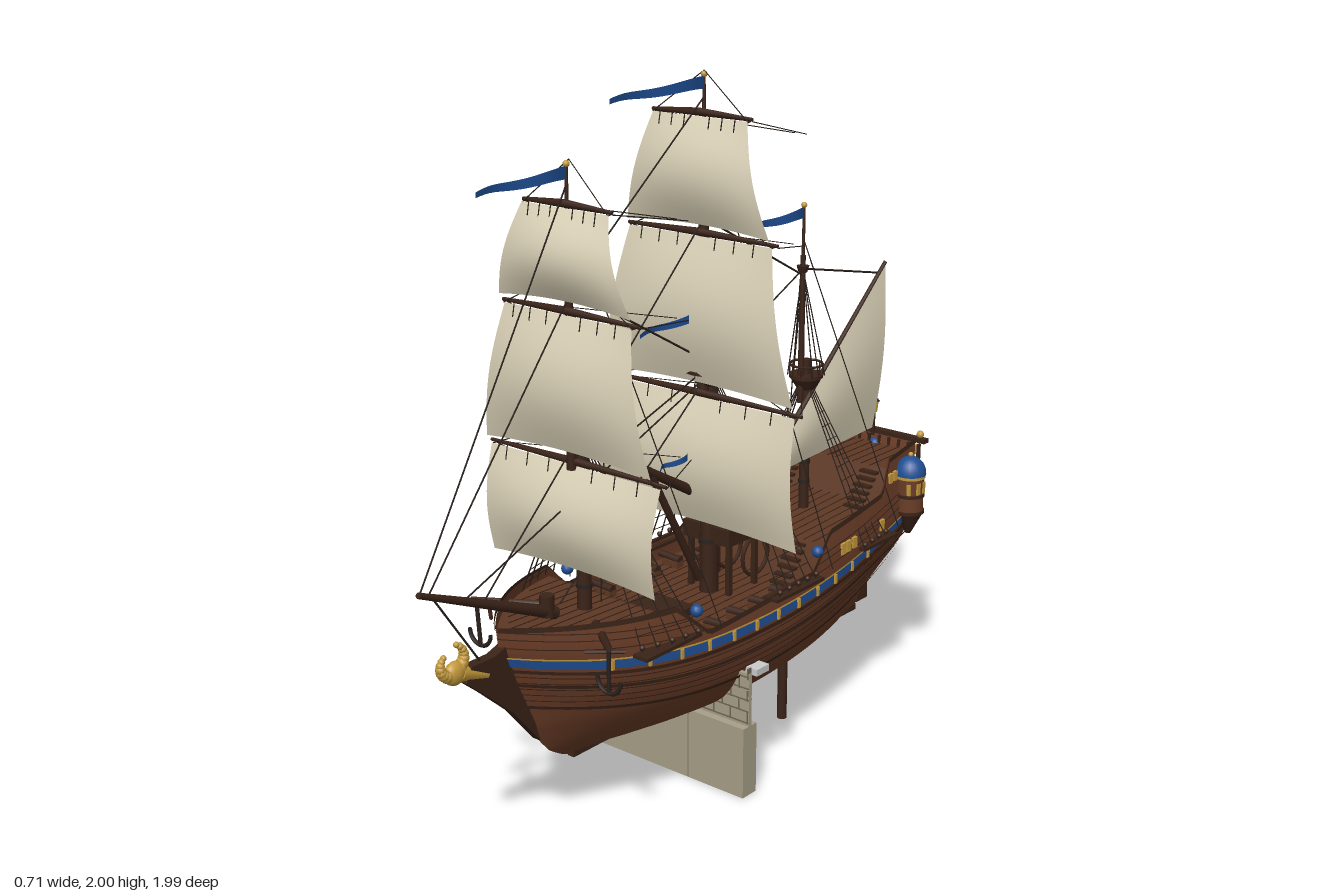
import * as THREE from 'three';

const WOOD = 0x6b3d27, DARK = 0x3a2318, DECK = 0x5e3824, BLUE = 0x1f4f95, GOLD = 0xc59a3c,
  SAIL = 0xd9d0b6, STONE = 0xa89f88, ROPE = 0x2a211c;
const V = (x, y, z) => new THREE.Vector3(x, y, z);
const mix = THREE.MathUtils.lerp;

// Linear lookup in a short table of [position, value]
function table(pts, x) {
  if (x <= pts[0][0]) return pts[0][1];
  for (let i = 1; i < pts.length; i++) {
    const [a, p] = pts[i - 1], [b, q] = pts[i];
    if (x <= b) return mix(p, q, (x - a) / (b - a));
  }
  return pts[pts.length - 1][1];
}

// Hull lines: beam, stem, stern by height; rail and deck by length
const BEAM = [[.2, .015], [.212, .07], [.225, .115], [.25, .165], [.28, .2], [.32, .228], [.37, .25], [.43, .264], [.5, .268], [.6, .255], [.7, .235], [.8, .215]];
const STEM = [[.2, .46], [.22, .51], [.25, .555], [.29, .59], [.35, .63], [.42, .66], [.5, .695], [.6, .73], [.68, .74]];
const STERN = [[.2, -.87], [.5, -.9], [.6, -.935], [.8, -.975]];
const RAIL = [[-.97, .785], [-.76, .77], [-.72, .68], [-.4, .66], [-.3, .57], [.2, .55], [.27, .62], [.3, .645], [.73, .665]];
const DECKS = [[-.97, .745], [-.74, .745], [-.735, .635], [-.36, .62], [-.355, .5], [.27, .5], [.275, .61], [.73, .63]];
const zOf = u => -.95 + 1.68 * u;
const railY = u => table(RAIL, zOf(u));
const sheer = u => .505 + .26 * (u - .52) ** 2;

function hull(u, y, out = 0) {
  const k = THREE.MathUtils.smoothstep(y, .18, .58);
  const f = u > .55 ? 1 - ((u - .55) / .45) ** mix(2, 3.4, k)
    : 1 - (1 - mix(.06, .68, k)) * ((.55 - u) / .55) ** 2;
  return V(table(BEAM, y) * f + out, y, mix(table(STERN, y), table(STEM, y), u));
}
const hullAtZ = (z, y, out) => hull((z - table(STERN, y)) / (table(STEM, y) - table(STERN, y)), y, out);

export function createModel() {
  const ship = new THREE.Group();
  ship.name = 'sailingShip';
  const mats = {};
  const mat = c => mats[c] ??= new THREE.MeshStandardMaterial({ color: c, side: THREE.DoubleSide });

  function add(name, geo, color, pos) {
    const m = new THREE.Mesh(geo, mat(color));
    m.name = name;
    if (pos) m.position.copy(pos);
    ship.add(m);
    return m;
  }
  const box = (name, w, h, d, x, y, z, c) => add(name, new THREE.BoxGeometry(w, h, d), c, V(x, y, z));
  const drum = (name, r1, r0, h, x, y, z, c, n = 16) => add(name, new THREE.CylinderGeometry(r1, r0, h, n), c, V(x, y, z));
  const ball = (name, r, x, y, z, c) => add(name, new THREE.SphereGeometry(r, 12, 8), c, V(x, y, z));
  function rod(name, a, b, r0, r1, c, n = 10) {
    const d = b.clone().sub(a);
    const m = add(name, new THREE.CylinderGeometry(r1, r0, d.length(), n), c, a.clone().lerp(b, .5));
    m.quaternion.setFromUnitVectors(V(0, 1, 0), d.normalize());
    return m;
  }
  const rope = (a, b, r = .0022) => rod('rope', a, b, r, r, ROPE, 4);
  // Curved sheet whose points follow fn(u, v)
  function sheet(name, fn, nu, nv, c) {
    const g = new THREE.PlaneGeometry(1, 1, nu, nv), uv = g.attributes.uv, p = g.attributes.position;
    for (let i = 0; i < p.count; i++) p.setXYZ(i, ...fn(uv.getX(i), uv.getY(i)).toArray());
    g.computeVertexNormals();
    return add(name, g, c);
  }
  // Strip of hull skin on both sides
  function skin(name, lo, hi, out, rows, c, u0 = 0, u1 = 1) {
    for (const s of [1, -1]) sheet(name, (a, v) => {
      const u = mix(u0, u1, a), p = hull(u, mix(lo(u), hi(u), v), out);
      return p.setX(p.x * s);
    }, 90, rows, c);
  }

  // Hull, planking seams, wales and blue band
  skin('hull', () => .2, u => sheer(u) + .03, 0, 24, WOOD);
  skin('upperSides', u => sheer(u) + .03, railY, 0, 4, WOOD);
  for (let i = 0; i < 6; i++) skin('plankSeam', u => sheer(u) - .125 + i * .02, u => sheer(u) - .122 + i * .02, .002, 1, DARK);
  for (const d of [-.15, -.075, -.03]) skin('wale', u => sheer(u) + d, u => sheer(u) + d + .01, .008, 1, DARK);
  skin('blueBand', u => sheer(u) - .012, u => sheer(u) + .014, .006, 1, BLUE);
  skin('goldTrim', u => sheer(u) + .014, u => sheer(u) + .019, .008, 1, GOLD);
  for (const d of [.045, .07, .09]) skin('upperSeam', u => Math.min(sheer(u) + d, railY(u) - .004), u => Math.min(sheer(u) + d + .003, railY(u)), .003, 1, DARK);
  skin('rail', u => railY(u) - .01, u => railY(u) + .005, .006, 1, DARK);
  sheet('transom', (a, v) => { const p = hull(0, mix(.2, .785, v)); return p.setX(p.x * (2 * a - 1)); }, 8, 24, WOOD);
  sheet('deck', (a, u) => { const p = hull(u, table(DECKS, zOf(u))); return p.setX(p.x * (2 * a - 1)); }, 6, 140, DECK);
  for (const [z0, z1, y0, y1] of [[-.95, -.75, .748, .748], [-.73, -.37, .638, .624], [-.34, .26, .504, .504], [.29, .66, .614, .63]])
    for (let x = -.224; x < .23; x += .032) {
      let e = z1;
      while (e > z0 && hullAtZ(e, y1).x < Math.abs(x) + .01) e -= .03;
      if (e > z0 + .05 && hullAtZ(z0, y0).x > Math.abs(x)) rod('deckSeam', V(x, y0, z0), V(x, mix(y0, y1, (e - z0) / (z1 - z0)), e), .0016, .0016, DARK, 4);
    }
  box('keel', .022, .02, 1.34, 0, .208, -.2, DARK);
  box('rudder', .02, .3, .06, 0, .37, -.905, DARK);

  // Beakhead and gilded claw figurehead
  const beak = new THREE.Shape([[.6, .3], [.7, .42], [.8, .51], [.86, .56], [.84, .6], [.76, .6], [.7, .62]].map(p => new THREE.Vector2(-p[0], p[1])));
  add('beakhead', new THREE.ExtrudeGeometry(beak, { depth: .03, bevelEnabled: false }), DARK, V(-.015, 0, 0)).rotation.y = Math.PI / 2;
  rod('clawArm', V(0, .555, .78), V(0, .59, .87), .016, .022, GOLD);
  ball('clawPalm', .036, 0, .595, .885, GOLD).scale.set(.6, .9, 1);
  for (const [r, y, z, start] of [[.04, .635, .9, 3.3], [.032, .625, .895, -.4]]) {
    const c = new THREE.Group(); c.name = 'clawPincer';
    for (let i = 0; i < 7; i++) {
      const a = start + (start > 0 ? -1 : 1) * (i * .32 - .7);
      const m = new THREE.Mesh(new THREE.SphereGeometry(.019 - i * .0018, 8, 6), mat(GOLD));
      m.position.set(0, y + r * Math.sin(a), z + r * 1.2 * Math.cos(a));
      c.add(m);
    }
    ship.add(c);
  }
  rod('bowsprit', V(0, .64, .52), V(0, .84, .995), .018, .008, DARK);
  drum('bowspritCollar', .02, .02, .06, 0, .67, .55, DARK, 8);

  // Masts: [name, z lower, z upper, foot, top, crosstree, head, radius, platform radius, pennant length]
  const masts = [['fore', .405, .445, .5, 1.1, 1.5, 1.82, .021, .062, .32],
    ['main', -.125, -.095, .45, 1.17, 1.62, 1.99, .028, .075, .385],
    ['mizzen', -.585, -.558, .55, 1.05, 1.38, 1.57, .016, .052, .25]];
  for (const [n, z, zu, y0, y1, y2, y3, r, R, flag] of masts) {
    rod(n + 'LowerMast', V(0, y0, z), V(0, y1 + .05, z), r, r * .85, DARK, 14);
    rod(n + 'TopMast', V(0, y1 - .08, zu), V(0, y2 + .04, zu), r * .65, r * .5, DARK);
    rod(n + 'Pole', V(0, y2 - .06, zu), V(0, y3, zu), r * .4, .004, DARK);
    drum(n + 'Top', R * .92, R * .5, .035, 0, y1 - .025, z, DARK);
    drum(n + 'TopFloor', R, R, .01, 0, y1, z, DARK);
    const ring = add(n + 'TopRail', new THREE.TorusGeometry(R * .95, .004, 5, 20), DARK, V(0, y1 + .035, z));
    ring.rotation.x = Math.PI / 2;
    for (let i = 0; i < 10; i++) {
      const a = i * Math.PI / 5;
      rod('topPost', V(R * .95 * Math.cos(a), y1, z + R * .95 * Math.sin(a)), V(R * .95 * Math.cos(a), y1 + .035, z + R * .95 * Math.sin(a)), .003, .003, DARK, 4);
    }
    drum(n + 'Crosstree', r * 1.2, r * .8, .02, 0, y2, zu, DARK, 8);
    for (let i = 1; i < 5; i++) drum('mastBand', r * 1.1, r * 1.1, .012, 0, mix(y0 + .1, y1 - .08, i / 5), z, ROPE, 12);
    ball(n + 'Knob', .009, 0, y3, zu, GOLD);
    pennant(zu, y3 - .022, flag, .034);

    // Shrouds with ratlines and channels, then upper shrouds
    for (const s of [1, -1]) {
      const foot = i => { const zz = z + .03 - i * .045, p = hullAtZ(zz, .56, .022); return V(p.x * s, .56, zz); };
      const head = i => V(s * .018, y1 - .03, z + .012 - i * .006);
      const count = n === 'mizzen' ? 4 : 5;
      for (let i = 0; i < count; i++) { rope(foot(i), head(i)); ball('deadeye', .008, foot(i).x, .575, foot(i).z, DARK); }
      for (let k = 1; k < 11; k++) rope(foot(0).lerp(head(0), k / 12), foot(count - 1).lerp(head(count - 1), k / 12), .0014);
      box('channel', .05, .01, .045 * count, foot(2).x - s * .015, .556, foot(2).z, DARK);
      for (const dz of [.03, 0, -.03]) rope(V(s * R * .9, y1, z + dz), V(0, y2, zu));
      rope(V(0, y3 - .1, zu), foot(count + 1));
    }
  }
  function pennant(z, y, len, h) {
    sheet('pennant', (u, v) => V(.012 * Math.sin(u * 7), y - u * .012 + (v - .5) * h * (1 - .6 * u) + .003 * Math.sin(u * 9), z + u * len), 16, 2, BLUE);
  }
  pennant(-.09, 1.335, .27, .028);
  pennant(-.03, .935, .13, .022);

  // Square sails: [z, top y, half width, bottom y, half width, yard half length]
  const sails = [[.455, 1.71, .148, 1.46, .228, .152], [.455, 1.435, .22, 1.06, .29, .235], [.44, 1.03, .3, .73, .29, .31],
    [-.075, 1.88, .163, 1.575, .248, .172], [-.075, 1.555, .25, 1.13, .335, .262], [-.075, 1.1, .335, .72, .357, .352]];
  for (const [z, yt, wt, yb, wb, L] of sails) {
    sheet('squareSail', (u, v) => {
      const x = 2 * u - 1;
      return V(x * mix(wb, wt, v), mix(yb, yt, v) + .015 * (1 - v) * (1 - x * x), z + .012 * (1 - v) + Math.sin(Math.PI * v) * (.05 - .025 * x * x));
    }, 20, 14, SAIL);
    for (const s of [1, -1]) {
      rod('yard', V(0, yt + .012, z), V(s * L, yt + .005, z - .01), .011, .005, DARK, 8);
      rope(V(s * L * .95, yt, z - .012), V(s * L * .5, yt - .035, z - .015));
      rope(V(s * L * .5, yt - .035, z - .015), V(0, yt - .02, z - .015));
      rope(V(s * L * .95, yt, z), V(0, yt + .12, z - .02), .0016);
      rope(V(s * L, yt, z - .01), V(s * .02, yt - .1, z - .46), .0015);
      for (let i = 1; i < 4; i++) rope(V(s * L * i / 4, yt + .01, z + .008), V(s * L * i / 4, yt - .03, z + .016), .002);
    }
  }
  // Lateen sail on the mizzen
  const A = V(0, .785, -.34), B = V(0, 1.325, -.955), C = V(0, .81, -.912);
  sheet('lateenSail', (u, v) => {
    const p = A.clone().lerp(B.clone().lerp(C, v), u);
    return p.setX(.025 + .05 * Math.sin(Math.PI * v) * u * (1 - u * .6));
  }, 14, 12, SAIL);
  rod('lateenYard', V(.02, .775, -.33), V(.02, 1.335, -.962), .009, .006, DARK, 8);

  // Stays
  for (const [y0, z0, y1, z1] of [[1.77, .445, .84, .99], [1.48, .445, .83, .96], [1.1, .42, .75, .78], [1.93, -.095, 1.5, .44],
    [1.6, -.095, 1.1, .42], [1.15, -.11, .66, .5], [1.15, -.11, .78, .84], [1.38, -.56, 1.17, -.12], [1.05, -.58, .6, -.15], [1.36, -.56, 1.6, -.1], [1.5, .44, 1.2, -.1],
    [1.03, .32, 1.17, -.1], [1.03, .32, .6, .34], [.82, .95, .5, .73], [1.3, -.95, 1.38, -.56]])
    rope(V(0, y0, z0), V(0, y1, z1), .003);

  // Cargo boom with prop
  rod('boom', V(0, 1.035, .32), V(0, .78, -.13), .011, .016, DARK);
  rod('boomProp', V(0, .94, .14), V(0, .55, -.08), .01, .012, DARK);
  ball('boomBlock', .018, 0, 1.03, .32, DARK);

  // Deck fittings: platform, hatch, stairs, bulwark guns
  box('midPlatform', .17, .05, .15, 0, .68, -.185, DARK);
  for (const x of [-.07, .07]) for (const z of [-.13, -.25]) box('platformLeg', .015, .16, .015, x, .58, z, DARK);
  for (const x of [-.05, .05]) add('windlassWheel', new THREE.TorusGeometry(.06, .006, 6, 20), DARK, V(x, .575, -.28)).rotation.y = Math.PI / 2;
  box('hatch', .16, .025, .13, 0, .512, .1, DARK);
  for (const s of [1, -1]) {
    rod('hatchTrim', V(s * .11, .53, .18), V(s * .06, .56, .28), .004, .004, GOLD, 6);
    for (let i = 0; i < 6; i++) {
      box('stair', .06, .008, .02, s * .15, .515 + i * .02, -.27 - i * .017, DARK);
      box('poopStair', .06, .008, .02, s * .14, .645 + i * .018, -.65 - i * .016, DARK);
    }
    for (const z of [-.2, -.1, 0, .1, .17]) { // broadside guns
      const x = hullAtZ(z, .53).x;
      rod('gun', V(s * (x - .09), .525, z), V(s * (x - .01), .53, z), .014, .01, DARK, 8);
      box('gunCarriage', .06, .02, .03, s * (x - .06), .512, z, DECK);
    }
    for (const z of [.22, -.34]) ball('blueSwivel', .018, s * (hullAtZ(z, .61).x - .01), .612, z, BLUE);
    for (const z of [-.46, -.49, -.525, -.7]) box('sideWindow', .012, .034, .022, s * hullAtZ(z, .585).x, .587, z, GOLD);
    for (const z of [-.78, -.81]) box('poopWindow', .012, .03, .018, s * hullAtZ(z, .7).x, .71, z, GOLD);
    for (let z = -.6; z < .6; z += .1) { const p = hullAtZ(z, sheer((z + .95) / 1.68), .008); box('bandStud', .006, .028, .01, s * p.x, p.y, z, GOLD); }
    // Quarter turrets with blue domes
    const tx = s * .2;
    drum('turret', .044, .044, .12, tx, .64, -.87, WOOD);
    drum('turretBase', .044, .008, .07, tx, .545, -.87, DARK);
    for (const y of [.585, .64, .7]) drum('turretBand', .048, .048, .01, tx, y, -.87, y > .69 ? GOLD : DARK);
    add('turretDome', new THREE.SphereGeometry(.05, 18, 10, 0, Math.PI * 2, 0, Math.PI / 2), BLUE, V(tx, .705, -.87)).scale.y = 1.15;
    ball('domeKnob', .008, tx, .768, -.87, GOLD);
    for (let i = 0; i < 4; i++) { const a = i * .7 - 1.05; box('turretWindow', .016, .036, .016, tx + s * .038 * Math.cos(a), .665, -.87 + .038 * Math.sin(a), GOLD); }
    // Catheads and anchors
    rod('cathead', V(s * .1, .62, .47), V(s * .25, .63, .585), .012, .01, DARK, 6);
    rod('anchorShank', V(s * .24, .62, .575), V(s * .235, .5, .57), .006, .006, ROPE, 6);
    rod('anchorStock', V(s * .25, .6, .52), V(s * .17, .6, .59), .006, .006, DARK, 6);
    add('anchorArms', new THREE.TorusGeometry(.04, .006, 6, 12, Math.PI), ROPE, V(s * .235, .535, .57)).rotation.z = Math.PI;
    // Stern corner lamps
    ball('railKnob', .012, s * .165, .8, -.975, GOLD);
    for (const z of [.015, .25]) drum('hullPost', .015, .015, .22, s * .18, .21, -z, DARK, 10);
  }

  // Stern gallery and lanterns
  for (const y of [.6, .69, .78]) box('sternMoulding', .37, .014, .025, 0, y, table(STERN, y) - .008, DARK);
  for (let i = -4; i <= 4; i++) {
    box('sternWindow', .024, .05, .012, i * .037, .645, -.948, GOLD);
    box('galleryBaluster', .008, .07, .012, i * .037 + .018, .735, -.966, DARK);
  }
  ball('sternBoss', .022, 0, .735, -.968, BLUE);
  rod('lanternPole', V(0, .77, -.955), V(0, .85, -.957), .005, .005, DARK, 6);
  drum('lantern', .014, .01, .035, 0, .865, -.957, GOLD, 8);
  add('lanternCap', new THREE.ConeGeometry(.018, .022, 8), DARK, V(0, .893, -.957));
  for (const s of [1, -1]) drum('smallLantern', .011, .008, .03, s * .15, .745, -.985, GOLD, 8);

  // Stone wall below, with coursed upper part and capstone
  box('wall', .57, .215, .06, 0, .1075, .04, STONE);
  box('upperWall', .57, .16, .012, 0, .295, .04, STONE);
  for (const x of [-.26, .085]) box('wallJoint', .003, .21, .062, x, .107, .04, 0x857d69);
  for (let i = 0; i < 5; i++) {
    box('courseLine', .568, .004, .016, 0, .225 + i * .035, .04, 0x6f6858);
    for (let x = -.26 + (i % 2) * .03; x < .28; x += .06) box('brickJoint', .004, .033, .016, x, .242 + i * .033, .04, 0x6f6858);
  }
  box('capstone', .05, .02, .055, .265, .37, -.01, 0xcccccc);
  return ship;
}
